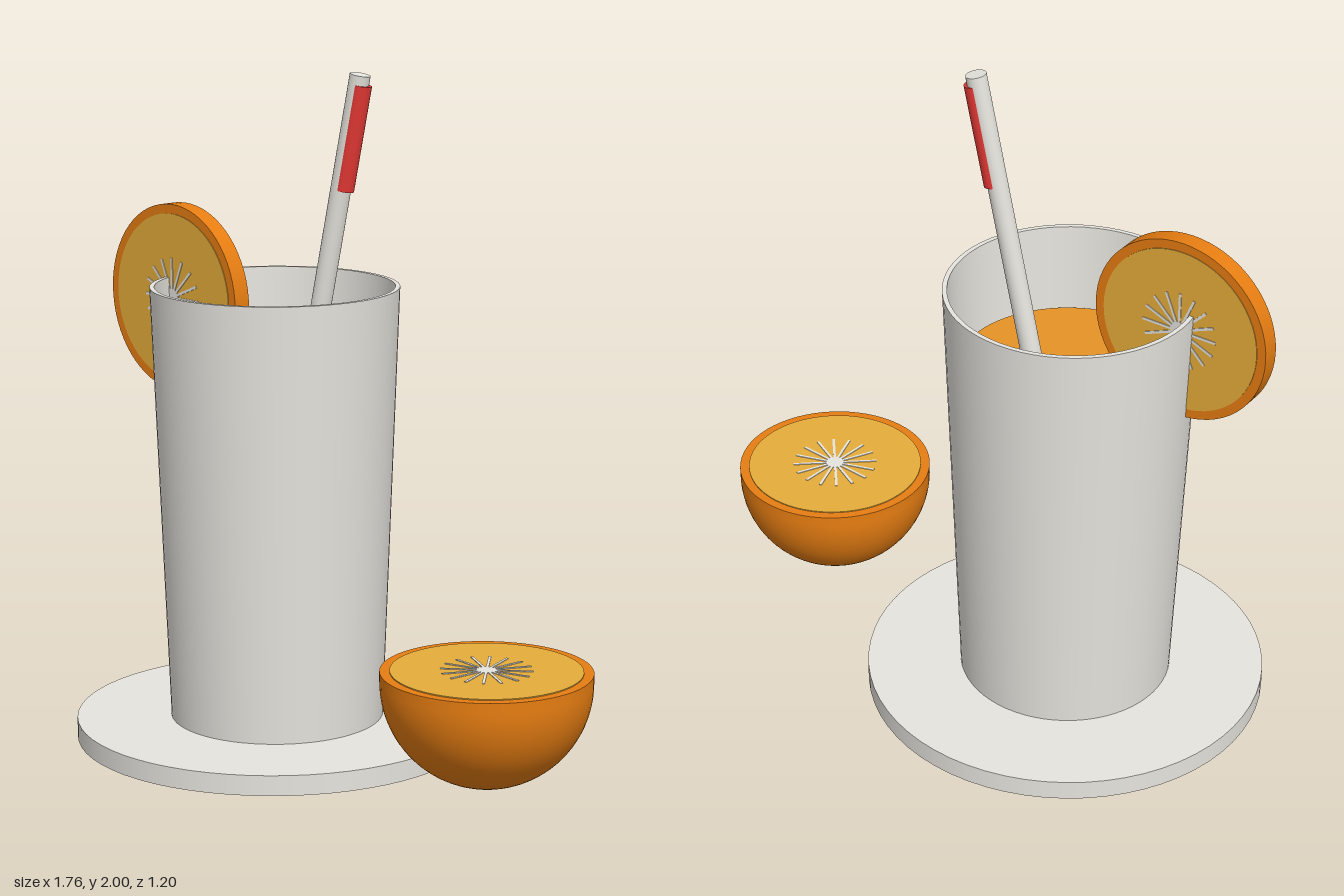
import * as THREE from 'three';

const mat = (name, color, side = THREE.FrontSide) => {
  const m = new THREE.MeshStandardMaterial({ color, side });
  m.name = name;
  return m;
};

export function createModel() {
  const white = mat('soft white', 0xe6e4de, THREE.DoubleSide);
  const rind = mat('orange rind', 0xe67d12);
  const flesh = mat('orange flesh', 0xe6ad3b);
  const juiceMat = mat('juice', 0xe79326);
  const red = mat('straw red', 0xe53935);

  const model = new THREE.Group();
  model.name = 'orangeJuice';
  const add = (parent, name, geometry, material, x = 0, y = 0, z = 0) => {
    const mesh = new THREE.Mesh(geometry, material);
    mesh.name = name;
    mesh.position.set(x, y, z);
    parent.add(mesh);
    return mesh;
  };
  const group = (name, x, y, z) => {
    const g = new THREE.Group();
    g.name = name;
    g.position.set(x, y, z);
    model.add(g);
    return g;
  };

  // Flesh disc and pith star of a cut face, facing +y
  function cutFace(parent, y, radius, starRadius) {
    const face = group('cutFace', 0, y, 0);
    parent.add(face);
    add(face, 'flesh', new THREE.CylinderGeometry(radius, radius, 0.004, 64), flesh);
    add(face, 'pith', new THREE.CylinderGeometry(0.028, 0.028, 0.006, 24), white, 0, 0.001, 0);
    for (let i = 0; i < 16; i++) {
      const a = (i / 16) * Math.PI * 2;
      const ray = add(face, 'pithRay', new THREE.BoxGeometry(starRadius, 0.005, 0.008), white,
        Math.cos(a) * starRadius / 2, 0.0015, -Math.sin(a) * starRadius / 2);
      ray.rotation.y = a;
    }
    return face;
  }

  // Coaster, glass and juice share one axis
  const drink = group('drink', -0.275, 0, 0);
  add(drink, 'coaster', new THREE.CylinderGeometry(0.6, 0.6, 0.06, 64), white, 0, 0.03, 0);
  const glass = group('glass', 0, 0, 0);
  drink.add(glass);
  const turned = (name, points) => add(glass, name,
    new THREE.LatheGeometry(points.map(p => new THREE.Vector2(...p)), 64), white);
  turned('outerWall', [[0.318, 0.06], [0.367, 1.36]]);
  turned('rim', [[0.367, 1.36], [0.353, 1.36]]);
  turned('innerWall', [[0.353, 1.36], [0.304, 0.09]]);
  turned('glassBottom', [[0.304, 0.09], [0, 0.09]]);
  add(drink, 'juice', new THREE.CylinderGeometry(0.327, 0.29, 1.0, 64), juiceMat, 0, 0.6, 0);

  // Leaning straw with a red sleeve set slightly towards its underside
  const straw = group('straw', 0.01, 1.99, 0);
  straw.rotation.z = -0.19;
  add(straw, 'strawTube', new THREE.CylinderGeometry(0.03, 0.03, 1.8, 24), white, 0, -0.9, 0);
  add(straw, 'strawSleeve', new THREE.CylinderGeometry(0.03, 0.03, 0.31, 24), red, 0.01, -0.183, 0);

  // Slice hung on the rim, cut on both sides
  const slice = group('orangeSlice', -0.605, 1.3, 0);
  slice.rotation.set(Math.PI / 2, 0, 0.3);
  add(slice, 'sliceRind', new THREE.CylinderGeometry(0.28, 0.28, 0.054, 64), rind);
  cutFace(slice, 0.027, 0.252, 0.12);
  cutFace(slice, -0.027, 0.252, 0.12).rotation.x = Math.PI;

  // Half orange: a bowl with a short straight lip
  const half = group('halfOrange', 0.577, 0.36, 0.3);
  add(half, 'halfRind', new THREE.SphereGeometry(0.298, 64, 24, 0, Math.PI * 2, Math.PI / 2, Math.PI / 2), rind);
  add(half, 'halfLip', new THREE.CylinderGeometry(0.298, 0.298, 0.03, 64), rind, 0, 0.015, 0);
  cutFace(half, 0.031, 0.27, 0.13);

  return model;
}
